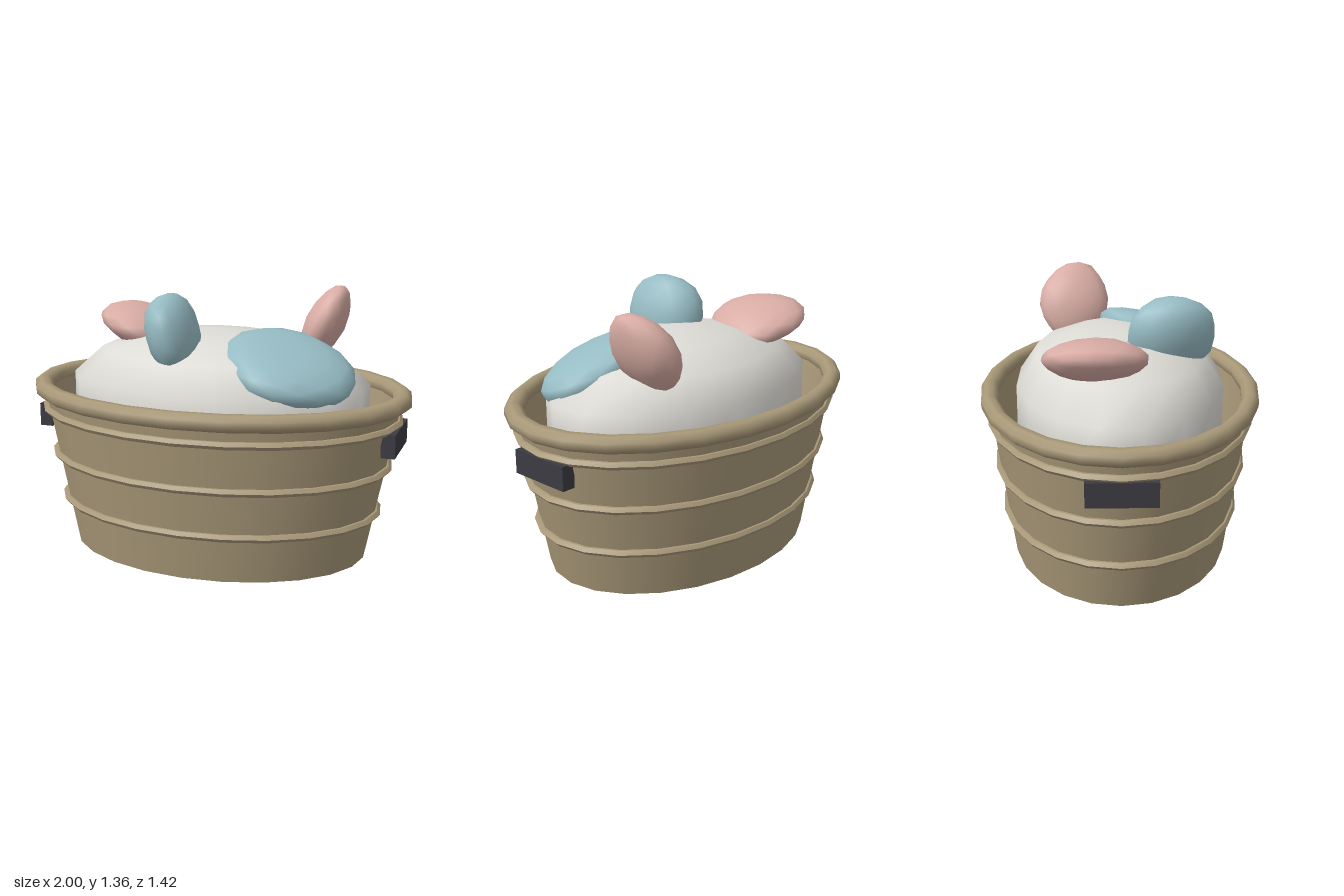
import * as THREE from 'three';
import { mergeVertices, toCreasedNormals } from 'three/addons/utils/BufferGeometryUtils.js';

const mat = (name, color, side = THREE.FrontSide) => {
  const m = new THREE.MeshStandardMaterial({ color, side });
  m.name = name;
  return m;
};

// Skin stacked elliptical rings [rx, rz, y]; an upward profile faces outward
function loft(rings, segments, phase = 0, crease = 0.7) {
  const pos = [], index = [];
  for (const [rx, rz, y] of rings) {
    for (let j = 0; j < segments; j++) {
      const a = ((j + phase) / segments) * Math.PI * 2;
      pos.push(rx * Math.cos(a), y, rz * Math.sin(a));
    }
  }
  for (let i = 0; i < rings.length - 1; i++) {
    for (let j = 0; j < segments; j++) {
      const k = (j + 1) % segments;
      const a = i * segments + j, b = i * segments + k;
      const c = a + segments, d = b + segments;
      if (rings[i][0] > 0) index.push(a, c, b);
      if (rings[i + 1][0] > 0) index.push(b, c, d);
    }
  }
  const g = new THREE.BufferGeometry();
  g.setAttribute('position', new THREE.Float32BufferAttribute(pos, 3));
  g.setIndex(index);
  g.computeVertexNormals();
  return toCreasedNormals(g, crease);
}

// Lumpy, softly shaded bundle of cloth
function clothBlob(rx, ry, rz, seed) {
  let g = new THREE.IcosahedronGeometry(1, 2);
  g.deleteAttribute('uv');
  g.deleteAttribute('normal');
  g = mergeVertices(g, 1e-3);
  const p = g.attributes.position, v = new THREE.Vector3();
  for (let i = 0; i < p.count; i++) {
    v.fromBufferAttribute(p, i);
    const lump = 1.01 + 0.05 * Math.sin(3.1 * v.x + seed) * Math.cos(2.7 * v.z - seed)
      + 0.03 * Math.sin(4.3 * v.y + 2 * seed);
    v.multiplyScalar(lump);
    p.setXYZ(i, v.x * rx, v.y * ry, v.z * rz);
  }
  g.computeVertexNormals();
  return g;
}

export function createModel() {
  const model = new THREE.Group();
  model.name = 'laundryBasket';
  const tan = mat('basket tan', 0xa89878);
  const dark = mat('handle charcoal', 0x3c3b42);
  const white = mat('linen white', 0xdddbd5);
  const pink = mat('cloth pink', 0xd8aca4);
  const teal = mat('cloth teal', 0x97bcc4);

  const add = (name, geometry, material) => {
    const m = new THREE.Mesh(geometry, material);
    m.name = name;
    model.add(m);
    return m;
  };

  // Hollow tapered oval tub
  add('tub', loft([
    [0, 0, 0], [0.785, 0.555, 0], [0.95, 0.67, 0.83],
    [0.915, 0.635, 0.83], [0.755, 0.525, 0.03], [0, 0, 0.03],
  ], 24), tan);

  // Rounded rim
  const rim = [];
  for (let i = 0; i <= 8; i++) {
    const a = -Math.PI / 2 + ((i + 0.5) / 8) * Math.PI * 2;
    rim.push([0.952 + 0.05 * Math.cos(a), 0.667 + 0.046 * Math.cos(a), 0.829 + 0.044 * Math.sin(a)]);
  }
  add('rim', loft(rim, 24, 0, 0.95), tan);

  // Three raised bands
  for (const y of [0.24, 0.48, 0.72]) {
    const rx = 0.785 + 0.199 * y, rz = 0.555 + 0.139 * y;
    add('band', loft([
      [rx - 0.01, rz - 0.01, y - 0.02], [rx + 0.015, rz + 0.012, y - 0.018],
      [rx + 0.031, rz + 0.024, y], [rx + 0.015, rz + 0.012, y + 0.018],
      [rx - 0.01, rz - 0.01, y + 0.02],
    ], 24), tan);
  }

  // Handle blocks on both ends
  for (const s of [1, -1]) {
    add(s > 0 ? 'leftHandle' : 'rightHandle', new THREE.BoxGeometry(0.07, 0.12, 0.333), dark)
      .position.set(s * 0.919, 0.65, 0);
  }

  // Heap of white linen
  add('linenHeap', loft([
    [0, 0, 0.36], [0.33, 0.24, 0.39], [0.62, 0.43, 0.46], [0.785, 0.528, 0.6],
    [0.785, 0.528, 0.89], [0.62, 0.43, 1.035], [0.34, 0.25, 1.115], [0, 0, 1.15],
  ], 16, 0.5, 1.4), white);

  // Loose clothes: name, material, half sizes, position, rotation
  const clothes = [
    ['pinkClothRight', pink, [0.235, 0.105, 0.25], [-0.46, 1.12, -0.12], [0, 0, -0.3]],
    ['tealClothFront', teal, [0.13, 0.195, 0.22], [-0.155, 1.155, 0.25], [0, 0.2, 0.25]],
    ['pinkClothLeft', pink, [0.1, 0.22, 0.185], [0.495, 1.16, -0.245], [0.15, 0, -0.45]],
    ['tealClothLeft', teal, [0.33, 0.11, 0.29], [0.42, 1.0, 0.17], [0.33, 0, -0.3]],
  ];
  clothes.forEach(([name, material, size, at, turn], i) => {
    const m = add(name, clothBlob(...size, i * 1.7 + 0.6), material);
    m.position.set(...at);
    m.rotation.set(...turn);
  });

  return model;
}
